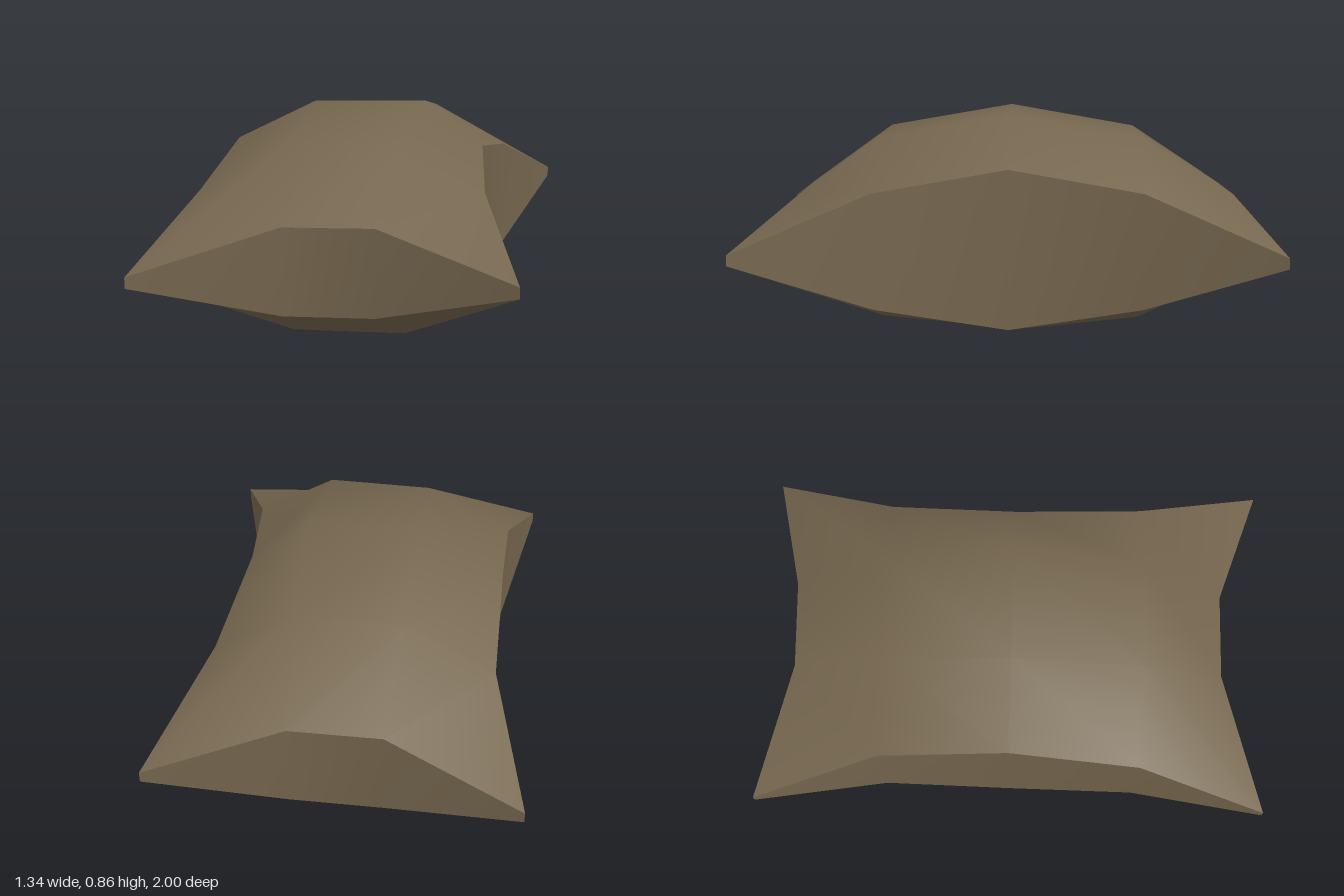
import * as THREE from 'three';

// Surface through a grid of points; rows run downward and columns rightward as seen from outside.
function sheet(rows) {
  const cols = rows[0].length;
  const index = [];
  for (let r = 0; r < rows.length - 1; r++) {
    for (let c = 0; c < cols - 1; c++) {
      const a = r * cols + c, d = a + cols;
      index.push(a, d, a + 1, a + 1, d, d + 1);
    }
  }
  const geometry = new THREE.BufferGeometry();
  geometry.setAttribute('position', new THREE.Float32BufferAttribute(rows.flat(2), 3));
  geometry.setIndex(index);
  geometry.computeVertexNormals();
  return geometry;
}

export function createModel() {
  const cloth = new THREE.MeshStandardMaterial({ color: 0x75664e });
  cloth.name = 'brownCloth';

  // Puffed upper face: cross-sections from back to front
  const top = [
    [[-0.67, 0.375, -1], [-0.17, 0.53, -0.855], [0.17, 0.545, -0.87], [0.67, 0.412, -1]],
    [[-0.54, 0.58, -0.5], [-0.21, 0.762, -0.5], [0.2, 0.773, -0.5], [0.495, 0.607, -0.5]],
    [[-0.543, 0.69, 0], [-0.225, 0.848, 0], [0.222, 0.86, 0], [0.45, 0.687, 0]],
    [[-0.555, 0.577, 0.5], [-0.21, 0.762, 0.5], [0.2, 0.773, 0.5], [0.507, 0.607, 0.5]],
    [[-0.67, 0.375, 1], [-0.165, 0.53, 0.825], [0.165, 0.54, 0.825], [0.67, 0.412, 1]],
  ];
  // Puffed lower face: same layout
  const bottom = [
    [[-0.67, 0.335, -1], [-0.17, 0.205, -0.855], [0.17, 0.217, -0.865], [0.67, 0.372, -1]],
    [[-0.54, 0.145, -0.5], [-0.2, 0.052, -0.5], [0.22, 0.062, -0.5], [0.5, 0.17, -0.5]],
    [[-0.53, 0.074, 0], [-0.215, 0.003, 0], [0.23, 0.016, 0], [0.467, 0.08, 0]],
    [[-0.55, 0.145, 0.5], [-0.2, 0.052, 0.5], [0.22, 0.062, 0.5], [0.517, 0.17, 0.5]],
    [[-0.67, 0.335, 1], [-0.165, 0.21, 0.825], [0.165, 0.22, 0.825], [0.67, 0.372, 1]],
  ];

  // Side bands join the matching borders of the two faces
  const column = (grid, c) => grid.map((row) => row[c]);
  const flip = (list) => [...list].reverse();
  const parts = {
    cushionTop: top,
    cushionBottom: flip(bottom),
    frontBand: [top[4], bottom[4]],
    backBand: [flip(top[0]), flip(bottom[0])],
    leftBand: [flip(column(top, 3)), flip(column(bottom, 3))],
    rightBand: [column(top, 0), column(bottom, 0)],
  };

  const cushion = new THREE.Group();
  cushion.name = 'cushion';
  for (const [name, rows] of Object.entries(parts)) {
    const mesh = new THREE.Mesh(sheet(rows), cloth);
    mesh.name = name;
    cushion.add(mesh);
  }
  return cushion;
}
